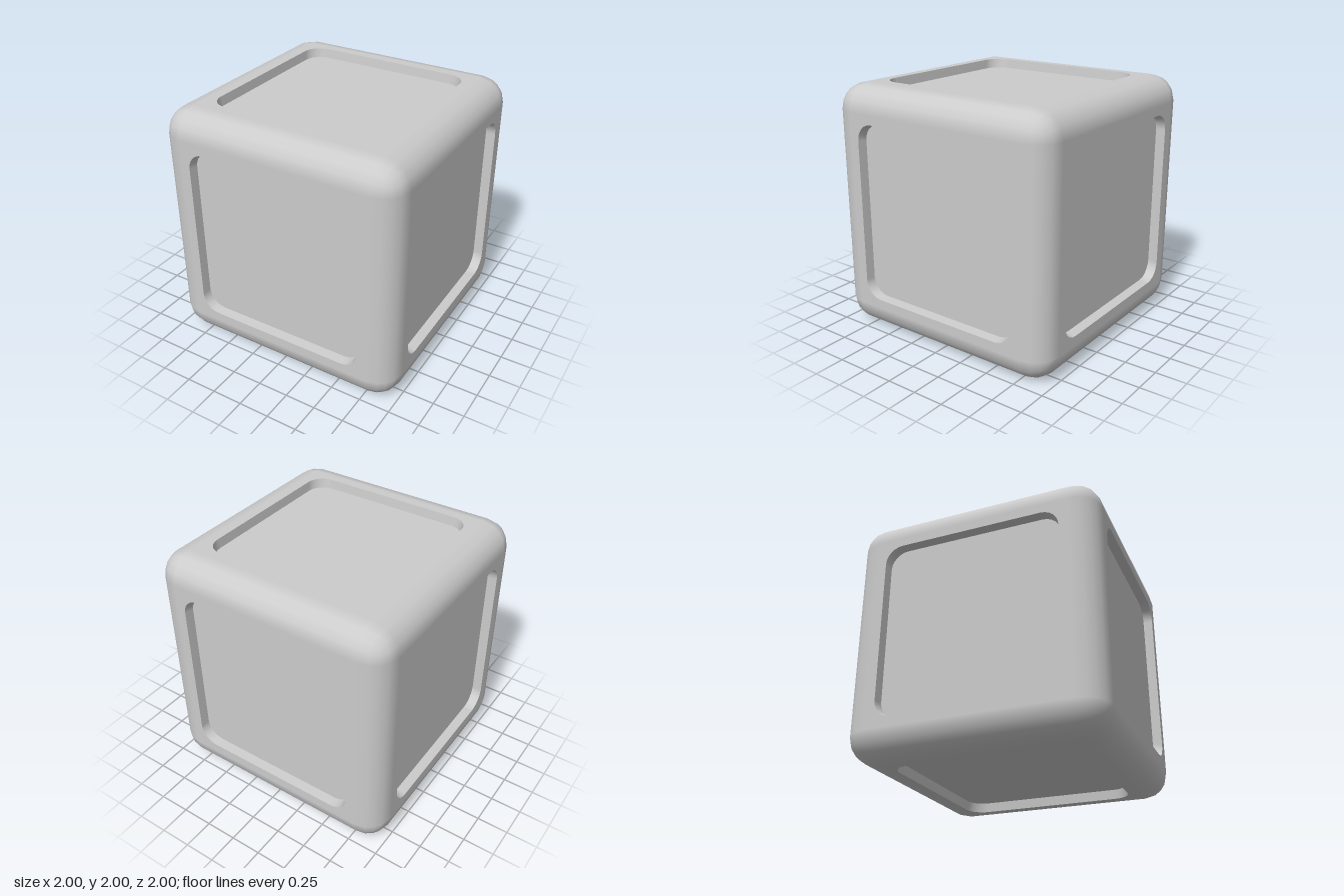
import * as THREE from 'three';
import { RoundedBoxGeometry } from 'three/addons/geometries/RoundedBoxGeometry.js';

const HALF = 1, EDGE = 0.21, DEPTH = 0.075;
const RIM = 0.717, FLOOR = 0.708, CORNER = 0.14;

// Square outline with rounded corners, counter-clockwise
function roundedSquare(h, r) {
  const s = new THREE.Shape(), c = h - r;
  s.absarc(c, -c, r, -Math.PI / 2, 0);
  s.absarc(c, c, r, 0, Math.PI / 2);
  s.absarc(-c, c, r, Math.PI / 2, Math.PI);
  s.absarc(-c, -c, r, Math.PI, Math.PI * 1.5);
  s.closePath();
  return s;
}

// Rounded edges and corners only: the flat faces are left out
function edgeShell() {
  const box = new RoundedBoxGeometry(2 * HALF, 2 * HALF, 2 * HALF, 2, EDGE);
  const geo = box.index ? box.toNonIndexed() : box;
  const p = geo.attributes.position, n = geo.attributes.normal;
  const pos = [], nor = [];
  for (let i = 0; i < p.count; i += 3) {
    const flat = ['getX', 'getY', 'getZ'].some((get) =>
      [0, 1, 2].every((k) => Math.abs(p[get](i + k)) > HALF - 1e-4));
    if (flat) continue;
    for (let k = i; k < i + 3; k++) {
      pos.push(p.getX(k), p.getY(k), p.getZ(k));
      nor.push(n.getX(k), n.getY(k), n.getZ(k));
    }
  }
  const out = new THREE.BufferGeometry();
  out.setAttribute('position', new THREE.Float32BufferAttribute(pos, 3));
  out.setAttribute('normal', new THREE.Float32BufferAttribute(nor, 3));
  return out;
}

// Slightly tapered wall from the rim down to the recessed panel
function wallGeometry(segments) {
  const rim = roundedSquare(RIM, CORNER).getPoints(segments);
  const floor = roundedSquare(FLOOR, CORNER).getPoints(segments);
  const pos = [], index = [];
  rim.forEach((a, i) => {
    const b = floor[i];
    pos.push(a.x, a.y, HALF, b.x, b.y, HALF - DEPTH);
    if (i < rim.length - 1) {
      const k = 2 * i;
      index.push(k, k + 2, k + 3, k, k + 3, k + 1);
    }
  });
  const geo = new THREE.BufferGeometry();
  geo.setAttribute('position', new THREE.Float32BufferAttribute(pos, 3));
  geo.setIndex(index);
  geo.computeVertexNormals();
  return geo;
}

export function createModel() {
  const model = new THREE.Group();
  model.name = 'panelledCube';
  const material = new THREE.MeshStandardMaterial({ color: 0xcccccc });
  const cube = new THREE.Group();
  cube.name = 'cube';
  cube.position.y = HALF;
  model.add(cube);

  const add = (parent, name, geometry) => {
    const mesh = new THREE.Mesh(geometry, material);
    mesh.name = name;
    parent.add(mesh);
  };
  add(cube, 'roundedEdges', edgeShell());

  // Flat border around each recess
  const c = HALF - EDGE, segments = 3;
  const border = new THREE.Shape([[-c, -c], [c, -c], [c, c], [-c, c]].map(([x, y]) => new THREE.Vector2(x, y)));
  border.holes.push(roundedSquare(RIM, CORNER));
  const borderGeo = new THREE.ShapeGeometry(border, segments).translate(0, 0, HALF);
  const panelGeo = new THREE.ShapeGeometry(roundedSquare(FLOOR, CORNER), segments).translate(0, 0, HALF - DEPTH);
  const wallGeo = wallGeometry(segments);

  // The same recessed face on all six sides
  const q = Math.PI / 2;
  const sides = { front: [0, 0], left: [0, q], back: [0, 2 * q], right: [0, -q], top: [-q, 0], bottom: [q, 0] };
  for (const [side, [rx, ry]] of Object.entries(sides)) {
    const face = new THREE.Group();
    face.name = side + 'Face';
    face.rotation.set(rx, ry, 0);
    add(face, side + 'Border', borderGeo);
    add(face, side + 'RecessWall', wallGeo);
    add(face, side + 'Panel', panelGeo);
    cube.add(face);
  }
  return model;
}
